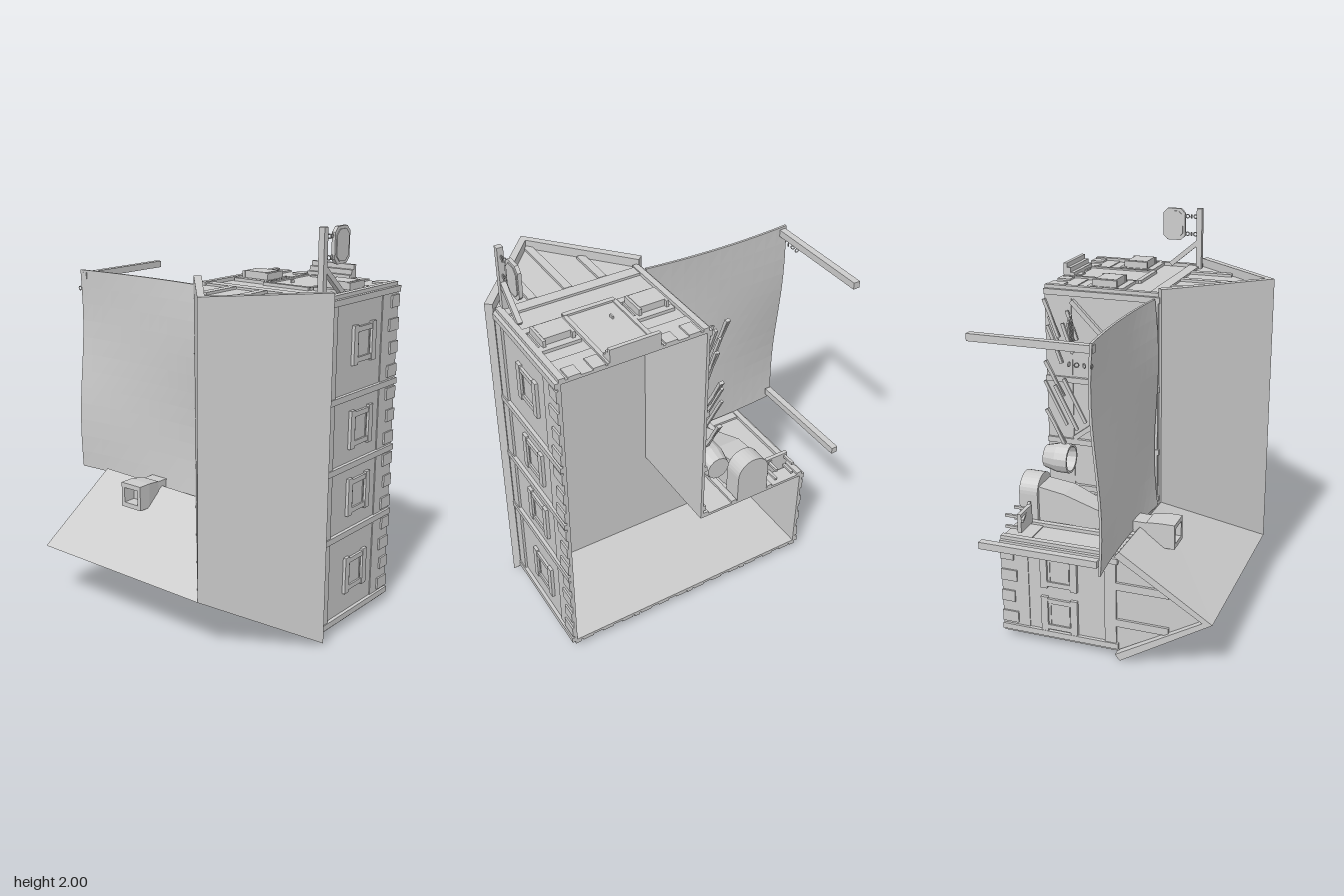
import * as THREE from 'three';

const plaster = new THREE.MeshStandardMaterial({ color: 0xcccccc, side: THREE.DoubleSide, flatShading: true });
plaster.name = 'pale grey';

function add(parent, name, geo, x = 0, y = 0, z = 0) {
  const m = new THREE.Mesh(geo, plaster);
  m.name = name;
  m.position.set(x, y, z);
  parent.add(m);
  return m;
}
const box = (p, name, w, h, d, x, y, z) => add(p, name, new THREE.BoxGeometry(w, h, d), x, y, z);

// square bar between two points
function bar(p, name, a, b, t = 0.02) {
  const A = new THREE.Vector3(...a), B = new THREE.Vector3(...b);
  const m = box(p, name, t, t, A.distanceTo(B), 0, 0, 0);
  m.position.copy(A).add(B).multiplyScalar(0.5);
  m.lookAt(B);
  return m;
}

// flat shape from [x, y] points
function shape(pts) {
  return new THREE.Shape(pts.map(p => new THREE.Vector2(...p)));
}

// loft between loops with the same number of points
function loft(loops) {
  const pos = [];
  for (let i = 0; i + 1 < loops.length; i++) {
    const n = loops[i].length;
    for (let k = 0; k < n; k++) {
      const a = loops[i][k], b = loops[i][(k + 1) % n], c = loops[i + 1][(k + 1) % n], d = loops[i + 1][k];
      pos.push(...a, ...b, ...c, ...a, ...c, ...d);
    }
  }
  const g = new THREE.BufferGeometry();
  g.setAttribute('position', new THREE.Float32BufferAttribute(pos, 3));
  g.computeVertexNormals();
  return g;
}

// roof slab over both wings: outer and inner skins joined at the rim
function roofGeometry() {
  const outer = [[-.61, .005, .085], [.82, .02, .085], [.82, 1.72, .085], [.42, 1.72, .55], [.01, 1.72, .085],
    [.02, .585, .085], [-.61, .6, .085], [-.61, .295, .55], [.42, .285, .55]];
  const inner = [[-.61, .035, .06], [.79, .05, .06], [.79, 1.72, .06], [.42, 1.72, .5], [.04, 1.72, .06],
    [.05, .555, .06], [-.61, .57, .06], [-.61, .295, .5], [.42, .285, .5]];
  const quads = [[0, 1, 8, 7], [1, 2, 3, 8], [8, 3, 4, 5], [7, 8, 5, 6]];
  const pos = [];
  const quad = (a, b, c, d) => pos.push(...a, ...b, ...c, ...a, ...c, ...d);
  for (const [a, b, c, d] of quads) {
    quad(outer[a], outer[b], outer[c], outer[d]);
    quad(inner[d], inner[c], inner[b], inner[a]);
  }
  for (let i = 0; i < 8; i++) {
    const j = (i + 1) % 8;
    quad(outer[j], outer[i], inner[i], inner[j]);
  }
  const g = new THREE.BufferGeometry();
  g.setAttribute('position', new THREE.Float32BufferAttribute(pos, 3));
  g.computeVertexNormals();
  return g;
}

// wall group: local x runs along the wall, local y along +z, local z points outward
function wall(root, name, n, dist, { posts, windows, from, to, quoins = true }) {
  const N = new THREE.Vector3(...n), V = new THREE.Vector3(0, 0, 1), U = V.clone().cross(N);
  const g = new THREE.Group();
  g.name = name;
  g.applyMatrix4(new THREE.Matrix4().makeBasis(U, V, N));
  g.position.copy(N).multiplyScalar(dist);
  const s = U.x + U.y, mid = s * (from + to) / 2, len = to - from;
  box(g, 'eavesBeam', len, .06, .012, mid, .03, .006);
  box(g, 'plinth', len, .145, .005, mid, -.4775, .0025);
  for (const p of posts) box(g, 'timberPost', .03, .62, .018, s * p, -.24, .009);
  if (quoins) for (let i = 0; i + 1 < posts.length; i++) {
    const count = Math.max(2, Math.round((posts[i + 1] - posts[i]) / .12));
    for (let k = 0; k < count; k++) {
      const p = posts[i] + (posts[i + 1] - posts[i]) * (k + .5) / count;
      box(g, 'baseStone', .06, k % 2 ? .07 : .085, .014, s * p, k % 2 ? -.515 : -.5075, .007);
    }
  }
  for (const p of windows) {
    const w = new THREE.Group();
    w.name = 'window';
    w.position.set(s * p, -.24, 0);
    g.add(w);
    for (const e of [-1, 1]) {
      box(w, 'windowRail', .19, .036, .016, 0, e * .079, .008);
      box(w, 'windowStile', .025, .13, .013, e * .0725, 0, .0065);
      box(w, 'innerTrim', .12, .006, .008, 0, e * .05, .004);
    }
    box(w, 'pane', .12, .122, .004, 0, 0, .002);
  }
  return g.parent ? g : (root.add(g), g);
}

export function createModel() {
  const root = new THREE.Group();
  root.name = 'house';

  // open L-shaped shell
  const L = [[-.575, .055], [.775, .055], [.775, 1.675], [.04, 1.675], [.04, .55], [-.575, .55]];
  const inner = [[-.565, .065], [.765, .065], [.765, 1.665], [.05, 1.665], [.05, .54], [-.565, .54]];
  const shell = shape(L);
  shell.holes.push(shape(inner));
  add(root, 'walls', new THREE.ExtrudeGeometry(shell, { depth: .62, bevelEnabled: false }), 0, 0, -.55);
  add(root, 'ceiling', new THREE.ShapeGeometry(shape(inner)), 0, 0, -.01);
  add(root, 'roof', roofGeometry());

  // walls with timber, stones and windows
  wall(root, 'eastWall', [1, 0, 0], .775, { posts: [.07, .51, .855, 1.2, 1.66], windows: [.28, .69, 1.03, 1.44], from: .055, to: 1.675 });
  wall(root, 'southWall', [0, -1, 0], .0 - .055, { posts: [-.56, -.23, .1, .42, .76], windows: [-.4, -.06, .26, .59], from: -.575, to: .775 });
  const north = wall(root, 'northWall', [0, 1, 0], 1.675, { posts: [.055, .76], windows: [.18, .65], from: .04, to: .775 });
  const west = wall(root, 'westWall', [-1, 0, 0], .575, { posts: [.07, .535], windows: [.18, .42], from: .055, to: .55 });
  wall(root, 'yardWallLong', [-1, 0, 0], -.04, { posts: [.6, .86, 1.2, 1.66], windows: [], from: .55, to: 1.675, quoins: false });
  wall(root, 'yardWallShort', [0, 1, 0], .55, { posts: [-.56, -.37, -.15, .02], windows: [], from: -.575, to: .04, quoins: false });
  bar(root, 'wallBrace', [.03, .88, -.4], [.03, 1.18, 0], .025);
  bar(root, 'wallBrace', [.03, 1.22, 0], [.03, 1.62, -.4], .025);

  // gable ends with studs
  const gable = (g, c, half, studs) => {
    add(g, 'gablePanel', new THREE.ShapeGeometry(shape([[c - half, .06], [c + half, .06], [c, .51]])), 0, 0, .001);
    for (const o of studs) {
      const h = .45 * (1 - Math.abs(o) / half) - .01;
      box(g, 'gableStud', .04, h, .014, c + o, .06 + h / 2, .007);
    }
  };
  gable(north, -.415, .375, [-.18, 0, .18]);
  gable(west, -.3, .26, [-.1, .1]);

  // door with steps, and window boxes on the north wall
  for (const e of [-1, 1]) box(north, 'doorJamb', .02, .42, .014, -.41 + e * .125, -.34, .007);
  box(north, 'doorLintel', .26, .025, .016, -.41, -.13, .008);
  box(north, 'doorLeaf', .23, .4, .006, -.41, -.34, .003);
  box(north, 'doorHandle', .008, .025, .02, -.36, -.25, .01);
  for (let i = 0; i < 3; i++) box(north, 'doorStep', .25, .02, .03 + i * .024, -.41, -.5 - i * .02, .015 + i * .012);
  for (const x of [-.18, -.65]) {
    box(north, 'windowBox', .13, .11, .04, x, -.245, .03);
    for (const e of [-1, 1]) box(north, 'shutter', .015, .13, .045, x + e * .07, -.25, .025);
  }

  // hanging sign on a braced pole
  const sign = new THREE.Group();
  sign.name = 'hangingSign';
  root.add(sign);
  box(sign, 'signPole', .03, .33, .03, .735, 1.835, .06);
  bar(sign, 'signBrace', [.735, 1.82, .055], [.735, 1.69, -.1], .025);
  const oct = (w, h, c) => [[-w, -h + c], [-w + c, -h], [w - c, -h], [w, -h + c], [w, h - c], [w - c, h], [-w + c, h], [-w, h - c]];
  for (const [w, h, t] of [[.062, .085, .018], [.05, .072, .026]]) {
    const b = add(sign, 'signBoard', new THREE.ExtrudeGeometry(shape(oct(w, h, .025)), { depth: t, bevelEnabled: false }), .735 - t / 2, 1.91, -.083);
    b.rotation.y = Math.PI / 2;
  }
  for (const y of [1.86, 1.955]) for (let i = 0; i < 3; i++) {
    const link = add(sign, 'chainLink', new THREE.TorusGeometry(.01, .003, 4, 8), .735, y, .035 - i * .022);
    link.rotation.y = i % 2 ? 0 : Math.PI / 2;
  }

  // yard awning: a sagging cloth on two posts
  const cloth = new THREE.BoxGeometry(.82, 1.1, .012, 12, 12, 1);
  const p = cloth.attributes.position;
  for (let i = 0; i < p.count; i++) {
    const u = p.getX(i) / .41, v = p.getY(i) / .55;
    p.setZ(i, p.getZ(i) + .055 - .022 * (1 - u * u) + .015 * Math.sin(v * 3.1) * u - .01 * v);
  }
  cloth.computeVertexNormals();
  add(root, 'awning', cloth, -.4, 1.12, 0);
  for (const y of [.62, 1.64]) box(root, 'awningPost', .035, .035, .6, -.785, y, -.25);
  for (let i = 0; i < 4; i++) {
    const hook = add(root, 'awningHook', new THREE.TorusGeometry(.01, .003, 4, 8), -.815, 1.57, .05 - i * .035);
    hook.rotation.y = i;
  }

  // hearth, flue and chimney
  const arch = new THREE.Shape();
  arch.moveTo(-.09, 0);
  arch.lineTo(.09, 0);
  arch.lineTo(.09, .15);
  arch.absarc(0, .15, .09, 0, Math.PI, false);
  arch.lineTo(-.09, 0);
  add(root, 'hearth', new THREE.ExtrudeGeometry(arch, { depth: .1, bevelEnabled: false, curveSegments: 8 }), -.26, .55, -.55);
  const ring = (w, y0, y1, z) => [[-.26 - w, y0, z], [-.26 + w, y0, z], [-.26 + w, y1, z], [-.26 - w, y1, z]];
  add(root, 'flue', loft([ring(.07, .54, .74, -.45), ring(.075, .54, .72, -.31), ring(.05, .53, .62, -.05), ring(.05, .52, .62, .2)]));
  add(root, 'chimneyPot', loft([ring(.055, .515, .625, .12), ring(.065, .505, .635, .2), ring(.065, .505, .635, .27),
    ring(.045, .53, .61, .27), ring(.045, .53, .61, .2), ring(.001, .569, .571, .2)]));

  // tub beside the hearth
  const tub = add(root, 'tub', new THREE.LatheGeometry([[0, 0], [.06, 0], [.078, .07], [.078, .14], [.066, .14], [.055, .02], [0, .02]]
    .map(q => new THREE.Vector2(...q)), 14), -.065, .8, -.52);
  tub.rotation.x = Math.PI / 2;

  // trestle table and tilted bench along the long yard wall
  const trestle = (name, x, y, z, len, tilt) => {
    const t = new THREE.Group();
    t.name = name;
    t.position.set(x, y, z);
    t.rotation.set(0, tilt / 2, tilt);
    root.add(t);
    for (const e of [-1, 1]) {
      bar(t, 'crossLeg', [-.06, e * len, -.09], [.06, e * len, .08], .016);
      bar(t, 'crossLeg', [.06, e * len, -.09], [-.06, e * len, .08], .016);
      bar(t, 'tableRail', [e * .055, -len, .08], [e * .055, len, .08], .016);
    }
    bar(t, 'stretcher', [0, -len, 0], [0, len, 0], .014);
    return t;
  };
  trestle('trestle', -.06, 1.1, -.46, .13, 0);
  const bench = trestle('bench', -.06, 1.48, -.46, .08, .35);
  for (const x of [-.03, 0, .03]) box(bench, 'benchSlat', .022, .16, .01, x, 0, .085);

  // small workbench near the west gable
  box(root, 'workbenchTop', .13, .1, .02, -.46, .62, -.47);
  for (const x of [-.51, -.41]) for (const y of [.59, .65]) box(root, 'workbenchLeg', .014, .014, .07, x, y, -.515);
  bar(root, 'workbenchTool', [-.53, .64, -.45], [-.36, .66, -.49], .014);
  return root;
}
